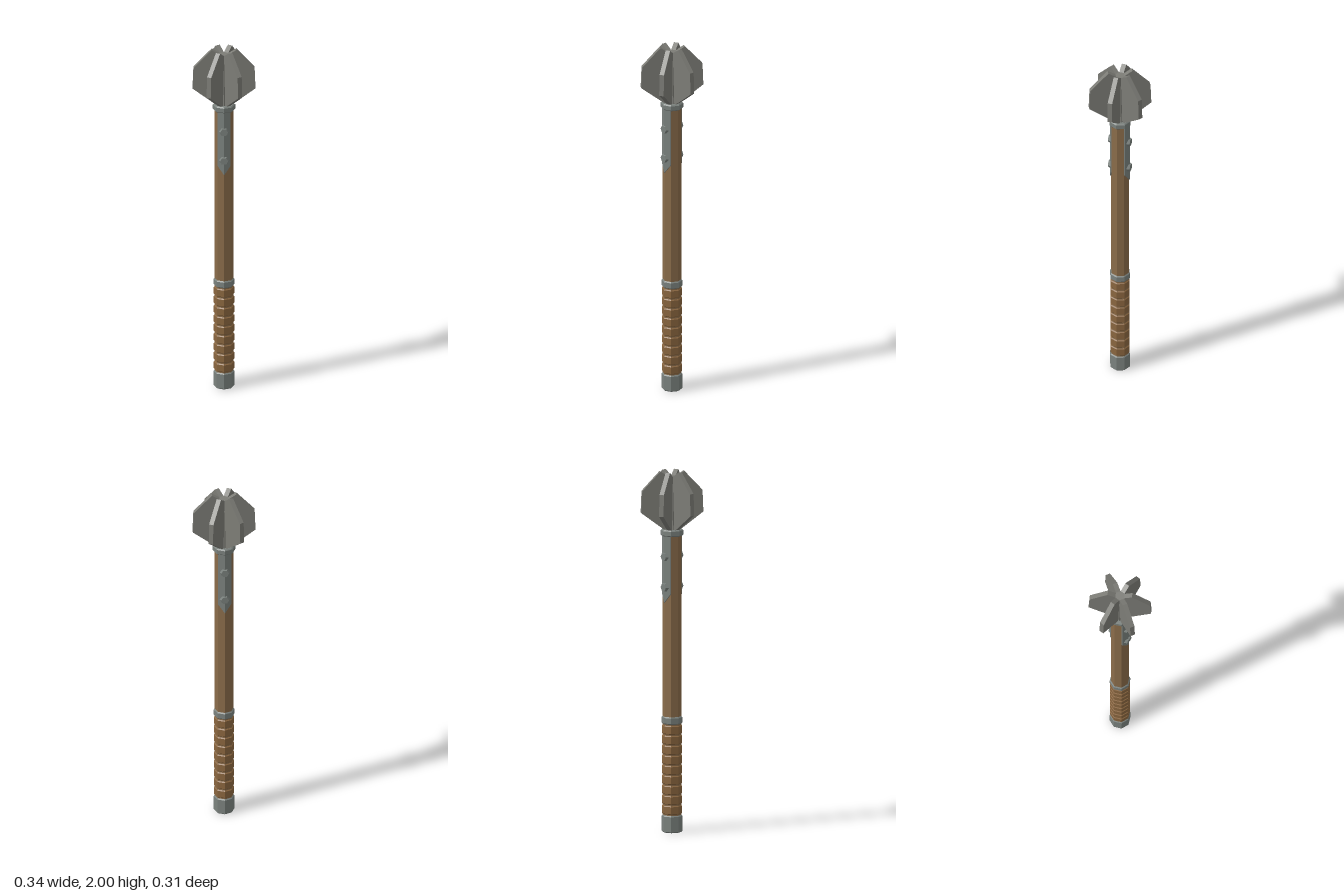
import * as THREE from 'three';

const material = (name, color) => {
  const m = new THREE.MeshStandardMaterial({ color });
  m.name = name;
  return m;
};

// Faceted look: every face keeps its own normal
function faceted(geometry) {
  const g = geometry.index ? geometry.toNonIndexed() : geometry;
  g.computeVertexNormals();
  return g;
}

export function createModel() {
  const root = new THREE.Group();
  root.name = 'flangedMace';
  const steel = material('headSteel', 0x7c7c76);
  const iron = material('fittingIron', 0x7b827e);
  const wood = material('shaftWood', 0x8a6c4a);
  const leather = material('gripLeather', 0x8a663f);

  function add(name, geometry, mat, parent = root) {
    const mesh = new THREE.Mesh(faceted(geometry), mat);
    mesh.name = name;
    parent.add(mesh);
    return mesh;
  }

  // Eight-sided band with bevelled rims, one corner facing the front
  function band(name, y0, y1, r, bevel, mat) {
    const points = [
      [0, y0], [r - bevel, y0], [r, y0 + bevel],
      [r, y1 - bevel], [r - bevel, y1], [0, y1],
    ].map(([x, y]) => new THREE.Vector2(x, y));
    return add(name, new THREE.LatheGeometry(points, 8), mat);
  }

  // Shaft, pommel and collars
  band('shaft', 0.05, 1.66, 0.051, 0.001, wood);
  band('pommel', 0, 0.095, 0.057, 0.006, iron);
  band('gripCollar', 0.6, 0.642, 0.057, 0.006, iron);
  band('headCollar', 1.642, 1.678, 0.062, 0.006, iron);

  // Stacked leather wraps
  const wraps = 9, pitch = 0.0555;
  for (let i = 0; i < wraps; i++) {
    const y = 0.099 + i * pitch;
    band('gripWrap' + (i + 1), y, y + pitch - 0.003, 0.056, 0.007, leather);
  }

  // Head core
  add('headCore', new THREE.CylinderGeometry(0.026, 0.04, 0.3, 6).translate(0, 1.82, 0), steel);

  // Six radial flanges
  const outline = new THREE.Shape([
    [0, 1.675], [0.042, 1.675], [0.172, 1.772], [0.167, 1.893],
    [0.067, 2], [0.024, 1.972], [0, 1.972],
  ].map(([x, y]) => new THREE.Vector2(x, y)));
  const flange = new THREE.ExtrudeGeometry(outline, { depth: 0.026, bevelEnabled: false });
  flange.translate(0, 0, -0.013);
  for (let i = 0; i < 6; i++) {
    add('flange' + (i + 1), flange, steel).rotation.y = i * Math.PI / 3;
  }

  // Langet strap folded round the shaft corner, with a pointed lower end
  function langet() {
    const shape = new THREE.Shape([
      [-0.036, 1.645], [-0.036, 1.325], [0, 1.275], [0, 1.645],
    ].map(([x, y]) => new THREE.Vector2(x, y)));
    const mirrored = new THREE.Shape(shape.getPoints().map((p) => new THREE.Vector2(-p.x, p.y)));
    const g = new THREE.ExtrudeGeometry([shape, mirrored], { depth: 0.012, bevelEnabled: false });
    const p = g.attributes.position;
    for (let i = 0; i < p.count; i++) {
      p.setZ(i, p.getZ(i) + 0.045 - Math.abs(p.getX(i)) * Math.tan(Math.PI / 8));
    }
    return g;
  }

  // Front and back straps with two hexagonal rivets each
  for (const [side, turn] of [['front', 0], ['back', Math.PI]]) {
    const group = new THREE.Group();
    group.name = side + 'Langet';
    group.rotation.y = turn;
    root.add(group);
    add(side + 'Strap', langet(), iron, group);
    for (const y of [1.53, 1.36]) {
      const rivet = new THREE.CylinderGeometry(0.022, 0.03, 0.022, 6);
      rivet.rotateY(Math.PI / 6).rotateX(Math.PI / 2).translate(0, y, 0.052);
      add(side + 'Rivet', rivet, iron, group);
    }
  }

  return root;
}
